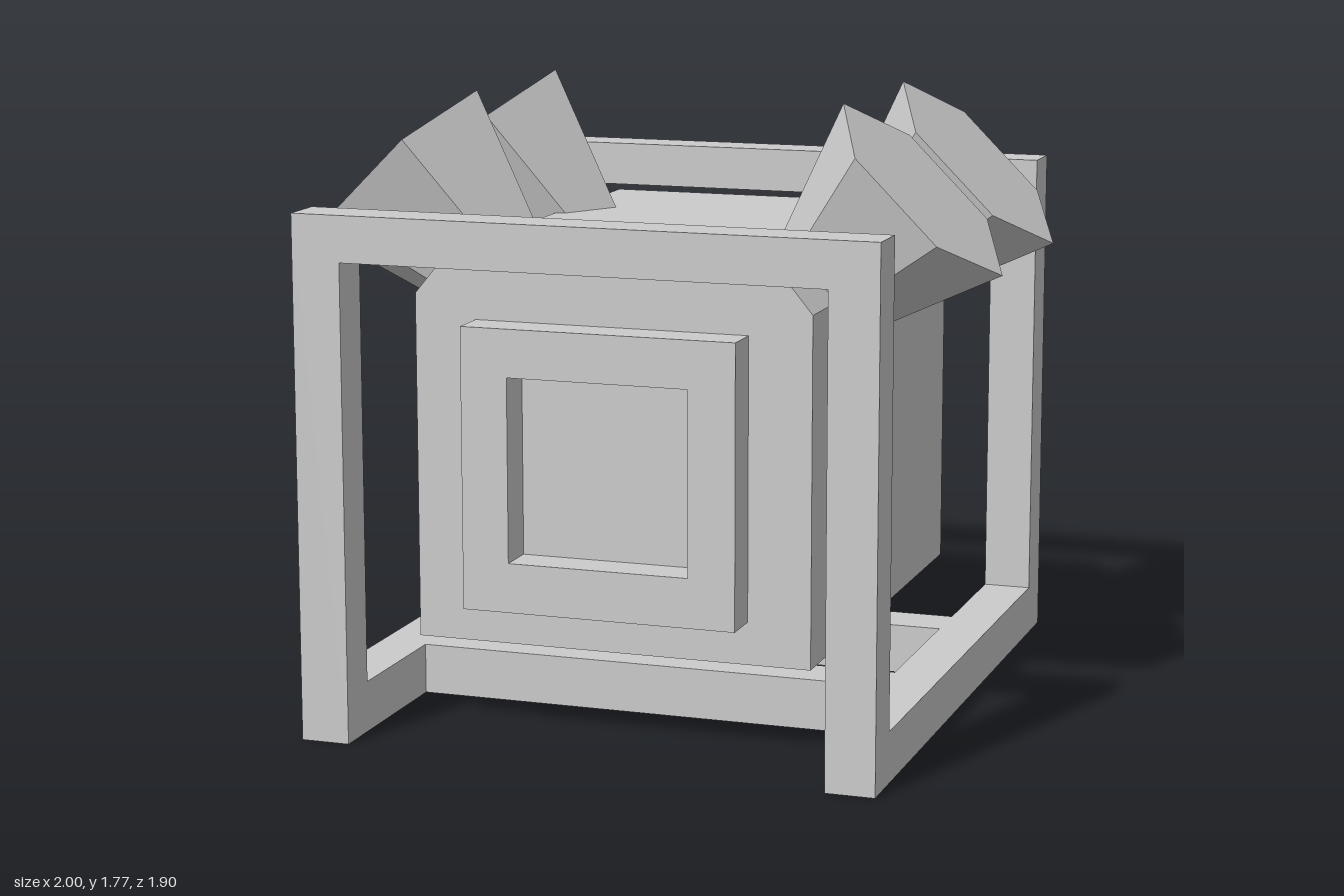
import * as THREE from 'three';

const material = new THREE.MeshStandardMaterial({ color: 0xcccccc, flatShading: true });

export function createModel() {
  const model = new THREE.Group();

  const add = (name, geometry, x = 0, y = 0, z = 0) => {
    const mesh = new THREE.Mesh(geometry, material);
    mesh.name = name;
    mesh.position.set(x, y, z);
    model.add(mesh);
    return mesh;
  };
  const box = (name, w, h, d, x, y, z) => add(name, new THREE.BoxGeometry(w, h, d), x, y, z);
  const polygon = (points) => new THREE.Shape(points.map(([x, y]) => new THREE.Vector2(x, y)));
  const extrude = (shape, depth) => new THREE.ExtrudeGeometry(shape, { depth, bevelEnabled: false });

  // Open cage: an upside-down U at each end, joined by floor rails
  const arch = polygon([
    [-0.83, 0], [-0.69, 0], [-0.69, 1.355], [0.69, 1.355],
    [0.69, 0], [0.83, 0], [0.83, 1.485], [-0.83, 1.485],
  ]);
  add('frontArch', extrude(arch, 0.135), 0, 0, 0.815);
  add('backArch', extrude(arch, 0.135), 0, 0, -0.95);
  for (const side of [-1, 1]) {
    box('sideRail', 0.14, 0.145, 1.63, side * 0.76, 0.0725, 0);
    box('crossRail', 1.38, 0.145, 0.15, 0, 0.0725, side * 0.325);
  }

  // Main body with chamfered upper edges
  const body = polygon([
    [-0.575, 0.26], [0.575, 0.26], [0.575, 1.24],
    [0.48, 1.355], [-0.48, 1.355], [-0.575, 1.24],
  ]);
  add('body', extrude(body, 1.4), 0, 0, -0.7);

  // Square bezel on the front, open down to the body
  const bezel = polygon([[-0.395, 0.38], [0.395, 0.38], [0.395, 1.175], [-0.395, 1.175]]);
  bezel.holes.push(polygon([[-0.26, 0.52], [-0.26, 1.04], [0.26, 1.04], [0.26, 0.52]]));
  add('frontBezel', extrude(bezel, 0.115), 0, 0, 0.7);

  // Two hexagonal knobs on the back
  const knob = (name, radius, turn, x, y) => {
    const geometry = new THREE.CylinderGeometry(radius, radius, 0.115, 6, 1, false, turn);
    add(name, geometry, x, y, -0.7575).rotation.x = Math.PI / 2;
  };
  knob('largeKnob', 0.275, 0, -0.17, 0.6825);
  knob('smallKnob', 0.184, Math.PI / 4, 0.23, 1.0025);

  // Four flared hexagonal pods on the upper edges, leaning outward
  for (const side of [-1, 1]) {
    for (const end of [-1, 1]) {
      const geometry = new THREE.CylinderGeometry(0.322, 0.164, 0.437, 6, 1, false, Math.PI / 2);
      add('pod', geometry, side * 0.6155, 1.383, end * 0.312).rotation.z = -side * Math.PI / 4;
    }
  }

  return model;
}
